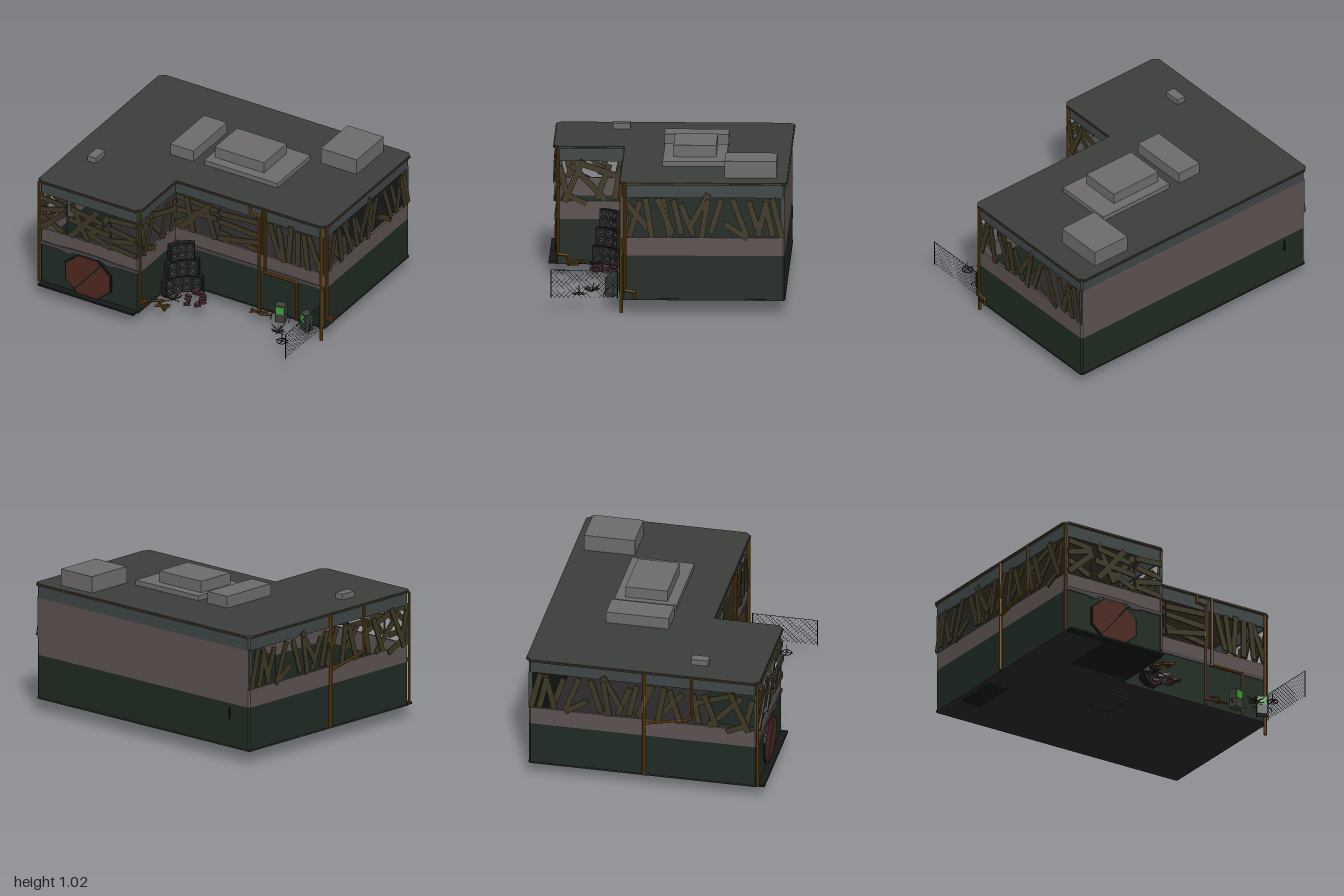
import * as THREE from 'three';

const C = {
  green: 0x1f2a22, brown: 0x5c5250, band: 0x3f4545, roof: 0x3b3e3a, rim: 0x41382a, floor: 0x2a2727, black: 0x151816,
  plank: 0x3d3724, pipe: 0x70470f, unit: 0x6d6b6b, door: 0x4d281f, trim: 0x494347, speaker: 0x1a1c1b, cone: 0x565a58,
  brick: 0x45292d, branch: 0x5a3a10, terminal: 0x3b403c, screen: 0x3f9a3c, twig: 0x2c2115,
};
const mats = {};
const mat = (k) => (mats[k] ??= new THREE.MeshStandardMaterial({ color: C[k], side: THREE.DoubleSide, flatShading: true }));
const V = (x, y, z) => new THREE.Vector3(x, y, z);

function add(parent, name, geo, color, x = 0, y = 0, z = 0) {
  const m = new THREE.Mesh(geo, mat(color));
  m.name = name;
  m.position.set(x, y, z);
  parent.add(m);
  return m;
}
function group(parent, name, x = 0, y = 0, z = 0, ry = 0) {
  const g = new THREE.Group();
  g.name = name;
  g.position.set(x, y, z);
  g.rotation.y = ry;
  parent.add(g);
  return g;
}
// box given by its limits on each axis
const block = (p, name, color, x0, x1, y0, y1, z0, z1) =>
  add(p, name, new THREE.BoxGeometry(x1 - x0, y1 - y0, z1 - z0), color, (x0 + x1) / 2, (y0 + y1) / 2, (z0 + z1) / 2);
// round bar between two points
function rod(p, name, color, a, b, r, sides = 8) {
  const d = b.clone().sub(a);
  const m = add(p, name, new THREE.CylinderGeometry(r, r, d.length(), sides), color);
  m.position.copy(a).addScaledVector(d, 0.5);
  m.quaternion.setFromUnitVectors(V(0, 1, 0), d.normalize());
}
// pipe with ball elbows through a few points
function pipe(p, pts, r = 0.01) {
  const g = group(p, 'pipe');
  const v = pts.map((q) => V(...q));
  v.slice(1).forEach((b, i) => {
    rod(g, 'pipeSection', 'pipe', v[i], b, r);
    if (i) add(g, 'pipeElbow', new THREE.SphereGeometry(r * 1.15, 8, 6), 'pipe', v[i].x, v[i].y, v[i].z);
  });
}
// L-shaped outline with cut corners; o grows it, c is the cut
function outline(o, c, Type = THREE.Shape) {
  const x = 0.98 + o, b = -0.8 - o, f = 0.3 + o, w = -0.2 + o, e = 0.78 + o;
  const pts = [[-x + c, b], [x - c, b], [x, b + c], [x, f - c], [x - c, f], [w, f], [w, e - c], [w - c, e], [-x + c, e], [-x, e - c], [-x, b + c]];
  return new Type(pts.map(([px, pz]) => new THREE.Vector2(px, -pz)));
}
function lLayer(p, name, color, y0, y1, o, c = 0.012, wall = 0) {
  const s = outline(o, c);
  if (wall) s.holes.push(outline(o - wall, c, THREE.Path));
  const g = new THREE.ExtrudeGeometry(s, { depth: y1 - y0, bevelEnabled: false }).rotateX(-Math.PI / 2);
  add(p, name, g, color, 0, y0, 0);
}
// boards nailed over a window row, each [x1, y1, x2, y2]
function planks(p, list, flip = 1) {
  list.forEach(([x1, y1, x2, y2], i) => {
    const dx = (x2 - x1) * flip, dy = y2 - y1;
    const m = add(p, 'plank', new THREE.BoxGeometry(Math.hypot(dx, dy) + 0.02, 0.04, 0.01), 'plank',
      flip * (x1 + x2) / 2, (y1 + y2) / 2, 0.004 + (i % 3) * 0.006);
    m.rotation.z = Math.atan2(dy, dx);
  });
}
let seed = 7;
const rnd = () => (seed = (seed * 16807) % 2147483647) / 2147483647;

const WING_FRONT = [[-.95, .77, -.78, .75], [-.96, .68, -.78, .73], [-.96, .54, -.78, .7], [-.95, .62, -.8, .55],
  [-.72, .79, -.6, .55], [-.52, .79, -.72, .55], [-.6, .56, -.44, .77], [-.74, .67, -.43, .64], [-.72, .76, -.48, .72], [-.6, .61, -.43, .54],
  [-.41, .77, -.22, .78], [-.41, .7, -.22, .67], [-.41, .6, -.22, .64], [-.41, .56, -.22, .54]];
const MAIN_FRONT = [[-.18, .78, .13, .76], [-.18, .68, .13, .7], [-.15, .55, .08, .79], [-.18, .57, 0, .7], [.05, .77, .12, .54], [-.1, .79, -.05, .55],
  [.16, .75, .46, .77], [.16, .69, .46, .67], [.16, .56, .46, .62], [.16, .6, .46, .55],
  [.56, .79, .63, .55], [.63, .79, .67, .54], [.72, .81, .7, .54], [.78, .79, .78, .54], [.83, .79, .86, .54], [.86, .79, .95, .55]];
const WING_SIDE = [[.75, .76, .7, .54], [.72, .53, .6, .8], [.62, .79, .33, .69], [.67, .77, .45, .54], [.42, .77, .5, .55], [.34, .76, .38, .55], [.69, .56, .58, .51]];
const MAIN_SIDE = [[.26, .75, .1, .56], [.25, .54, .18, .77], [.1, .54, .14, .79], [.02, .79, -.02, .54], [-.04, .56, .06, .79], [-.1, .56, -.05, .78],
  [-.1, .75, -.18, .55], [-.16, .6, -.28, .82], [-.24, .54, -.28, .78], [-.3, .56, -.37, .78], [-.4, .62, -.54, .53], [-.45, .79, -.54, .55],
  [-.63, .55, -.56, .77], [-.68, .79, -.62, .55], [-.72, .55, -.67, .77], [-.78, .54, -.72, .79]];

export function createModel() {
  const root = new THREE.Group();
  root.name = 'boardedBuilding';

  // shell: stacked L-shaped bands, open window row, roof
  lLayer(root, 'floor', 'floor', 0.092, 0.102, 0.004);
  lLayer(root, 'lowerWall', 'green', 0.1, 0.4, 0, 0.012, 0.015);
  lLayer(root, 'middleWall', 'brown', 0.4, 0.525, 0, 0.012, 0.015);
  lLayer(root, 'upperWall', 'band', 0.8, 0.89, 0, 0.012, 0.015);
  lLayer(root, 'roofRim', 'rim', 0.889, 0.9, 0.02, 0.035);
  lLayer(root, 'roof', 'roof', 0.893, 0.905, 0.014, 0.035);
  block(root, 'backWall', 'brown', -0.975, 0.975, 0.525, 0.8, -0.8, -0.785);
  block(root, 'backWallLining', 'black', -0.96, 0.96, 0.11, 0.88, -0.784, -0.78);
  for (const [x, z] of [[-.97, -.785], [.97, -.785], [.97, .29], [-.21, .77], [-.97, .77], [-.21, .29]])
    block(root, 'cornerPost', 'band', x - 0.008, x + 0.008, 0.52, 0.81, z - 0.012, z + 0.012);
  for (const [x, z] of [[-.77, .772], [-.42, .772], [.15, .292], [.5, .292]])
    block(root, 'windowPost', 'band', x - 0.004, x + 0.004, 0.52, 0.81, z - 0.005, z + 0.005);

  // boards over the windows
  planks(group(root, 'wingFrontBoards', 0, 0, 0.78), WING_FRONT);
  planks(group(root, 'mainFrontBoards', 0, 0, 0.3), MAIN_FRONT);
  planks(group(root, 'wingSideBoards', -0.2, 0, 0, Math.PI / 2), WING_SIDE, -1);
  planks(group(root, 'rightSideBoards', 0.98, 0, 0, Math.PI / 2), MAIN_SIDE, -1);
  planks(group(root, 'leftSideBoards', -0.98, 0, 0, -Math.PI / 2), [...MAIN_SIDE, ...WING_SIDE]);

  // rooftop units
  const units = group(root, 'roofUnits');
  for (const [x0, x1, y1, z0, z1] of [[-.13, .45, .94, -.39, .04], [-.09, .3, 1.02, -.32, -.03], [-.395, -.215, .987, -.39, .045],
    [.53, .815, 1.02, -.74, -.39], [-.83, -.765, .945, .29, .41]])
    block(units, 'roofUnit', 'unit', x0, x1, 0.9, y1, z0, z1);

  // octagonal door, its frame, seam and the trim that rises over it
  const octagon = (name, color, r, z, d) => {
    const g = new THREE.CylinderGeometry(r, r, d, 8).rotateY(Math.PI / 8).rotateX(Math.PI / 2).scale(1.17, 1, 1);
    add(root, name, g, color, -0.595, 0.255, z);
  };
  octagon('doorFrame', 'black', 0.17, 0.782, 0.014);
  octagon('door', 'door', 0.16, 0.787, 0.014);
  const seam = block(root, 'doorSeam', 'black', -0.6, -0.59, 0.085, 0.425, 0.79, 0.797);
  seam.rotation.z = -0.7;
  const trim = new THREE.Shape([[-.98, .4], [-.83, .4], [-.75, .385], [-.7, .412], [-.49, .412], [-.44, .385], [-.36, .4], [-.2, .4],
    [-.2, .425], [-.36, .425], [-.5, .435], [-.69, .435], [-.83, .425], [-.98, .425]].map((q) => new THREE.Vector2(...q)));
  add(root, 'doorTrim', new THREE.ExtrudeGeometry(trim, { depth: 0.01, bevelEnabled: false }), 'trim', 0, 0, 0.778);
  block(root, 'frontTrim', 'trim', -0.2, 0.98, 0.4, 0.425, 0.295, 0.305);
  block(root, 'doorStep', 'black', -0.97, -0.21, 0.09, 0.104, 0.77, 0.83);
  block(root, 'backVent', 'black', -0.805, -0.795, 0.29, 0.37, -0.808, -0.8);

  // plates under the floor
  block(root, 'underPlate', 'black', -0.94, -0.8, 0.08, 0.095, -0.53, -0.2);
  block(root, 'underPlate', 'floor', -0.18, -0.02, 0.08, 0.095, -0.13, 0.12);
  block(root, 'underPlate', 'black', -0.65, -0.2, 0.088, 0.095, 0.36, 0.78);

  // pipes
  const pipes = group(root, 'pipes');
  pipe(pipes, [[-.985, .1, .785], [-.985, .89, .785]]);
  pipe(pipes, [[-.195, .89, .765], [-.195, .16, .765], [-.195, .15, .7], [-.195, .1, .69]]);
  pipe(pipes, [[.4, .89, .315], [.4, .84, .315], [.47, .83, .315], [.47, .1, .315]]);
  pipe(pipes, [[.49, .89, .31], [.49, .53, .31]], 0.006);
  pipe(pipes, [[.52, .89, .315], [.52, .4, .315], [.77, .4, .315], [.77, .1, .315]]);
  pipe(pipes, [[.96, 0, .305], [.96, .89, .305]], 0.012);
  pipe(pipes, [[.99, .89, .28], [.99, .16, .28], [.99, .15, .22], [.99, .1, .215]]);
  pipe(pipes, [[-.99, .1, 0], [-.99, .89, 0]], 0.012);
  pipe(pipes, [[-.99, .89, .33], [-.99, .57, .33], [-.99, .5, 0]]);

  // curved stack of loudspeakers in the inner corner
  const stack = group(root, 'speakerStack', 0.04, 0.1, 0.53);
  [[0, 90, 4, .075], [8, 82, 3, .08], [17, 73, 3, .06]].forEach(([a0, a1, n, w], row) => {
    for (let i = 0; i < n; i++) {
      const a = THREE.MathUtils.degToRad(a0 + ((a1 - a0) * (i + 0.5)) / n);
      const s = group(stack, 'speaker', -0.19 * Math.cos(a), row * 0.13 + 0.064, -0.19 * Math.sin(a), Math.PI / 2 - a);
      add(s, 'cabinet', new THREE.BoxGeometry(w, 0.124, 0.045), 'speaker');
      for (const y of [-0.03, 0.03]) {
        add(s, 'coneRing', new THREE.TorusGeometry(0.021, 0.004, 6, 14), 'cone', 0, y, 0.024);
        add(s, 'cone', new THREE.SphereGeometry(0.01, 8, 6), 'cone', 0, y, 0.022);
      }
    }
  });

  // screen terminals with loose cables
  for (const [x, z, ry] of [[.68, .37, .25], [.885, .375, -.45]]) {
    const t = group(root, 'terminal', x, 0.1, z, ry);
    add(t, 'terminalBody', new THREE.BoxGeometry(0.07, 0.13, 0.06), 'terminal', 0, 0.065, 0);
    add(t, 'terminalScreen', new THREE.BoxGeometry(0.054, 0.055, 0.004), 'screen', 0, 0.094, 0.031);
    for (const s of [-1, 1]) {
      const curve = new THREE.CatmullRomCurve3([V(s * .03, .06, 0), V(s * .06, .05, .01), V(s * .065, .01, .03)]);
      add(t, 'cable', new THREE.TubeGeometry(curve, 8, 0.003, 5), 'black');
    }
  }

  // litter: dry bushes, branches and bricks
  for (const [x, z] of [[-.08, .52], [.74, .51]]) {
    const b = group(root, 'dryBush', x, 0.1, z);
    for (let i = 0; i < 16; i++) {
      const a = i * 2.4, r = 0.03 + rnd() * 0.04;
      rod(b, 'twig', 'twig', V(0, 0, 0), V(r * Math.cos(a), 0.01 + rnd() * 0.04, r * Math.sin(a)), 0.003, 5);
    }
  }
  const branches = group(root, 'fallenBranches');
  for (const [x0, z0, x1, z1] of [[-.18, .59, -.04, .7], [-.19, .63, -.1, .6], [-.14, .67, -.06, .63], [-.14, .58, -.1, .67], [-.06, .69, -.05, .62],
    [.44, .36, .52, .385], [.52, .385, .6, .37], [.5, .38, .56, .34], [.45, .4, .53, .375]])
    rod(branches, 'branch', 'branch', V(x0, 0.1 + rnd() * 0.015, z0), V(x1, 0.105 + rnd() * 0.035, z1), 0.009, 6);
  const bricks = group(root, 'bricks');
  for (let i = 0; i < 15; i++) {
    const b = add(bricks, 'brick', new THREE.BoxGeometry(0.045, 0.018, 0.024), 'brick',
      0.075 + (rnd() - 0.5) * 0.14, 0.1 + rnd() * 0.03, 0.445 + (rnd() - 0.5) * 0.16);
    b.rotation.y = rnd() * 3;
  }

  // small stand with a ring foot
  const stand = group(root, 'stand', 0.825, 0.1, 0.595);
  add(stand, 'ring', new THREE.TorusGeometry(0.036, 0.003, 5, 18).rotateX(Math.PI / 2), 'black');
  rod(stand, 'crossBar', 'black', V(-0.045, 0, 0), V(0.045, 0, 0), 0.003, 5);
  rod(stand, 'crossBar', 'black', V(0, 0, -0.045), V(0, 0, 0.045), 0.003, 5);
  rod(stand, 'standPole', 'black', V(0, 0, 0), V(0, 0.06, 0), 0.003, 5);

  // wire fence
  const fence = group(root, 'wireFence', 0.965, 0.1, 0);
  for (const z of [0.33, 0.78]) rod(fence, 'fencePost', 'black', V(0, 0, z), V(0, 0.195, z), 0.003, 5);
  rod(fence, 'fenceRail', 'black', V(0, 0.193, 0.33), V(0, 0.193, 0.78), 0.002, 5);
  for (let z = 0.15; z < 0.78; z += 0.03) {
    const lo = Math.max(z, 0.33), hi = Math.min(z + 0.19, 0.78);
    if (hi <= lo) continue;
    rod(fence, 'wire', 'black', V(0, lo - z, lo), V(0, hi - z, hi), 0.0009, 3);
    rod(fence, 'wire', 'black', V(0, 0.19 - lo + z, lo), V(0, 0.19 - hi + z, hi), 0.0009, 3);
  }
  return root;
}
